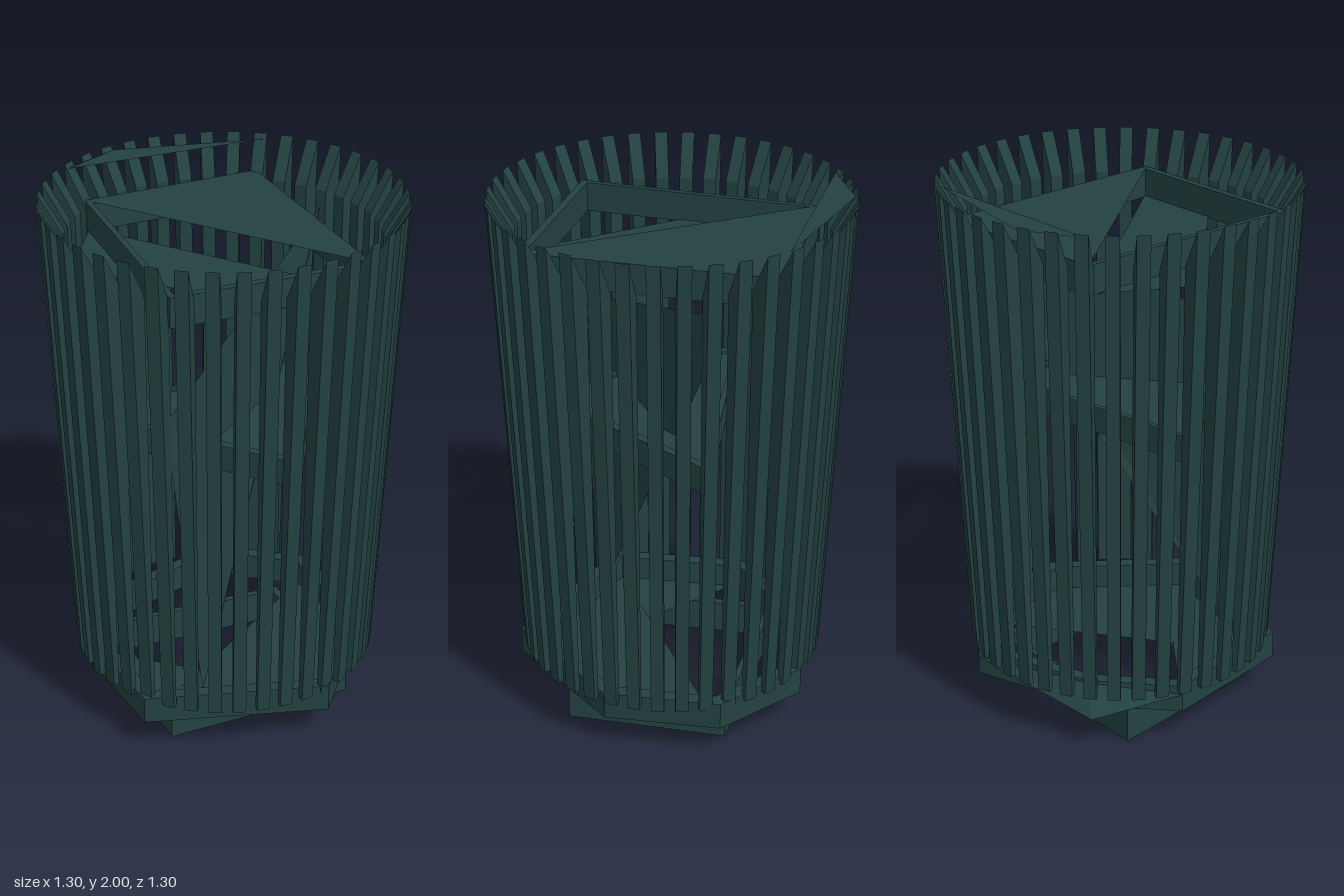
import * as THREE from 'three';

const green = new THREE.MeshStandardMaterial({ color: 0x234241, side: THREE.DoubleSide });
green.name = 'dark green';

function add(group, name, geometry) {
  const mesh = new THREE.Mesh(geometry, green);
  mesh.name = name;
  group.add(mesh);
  return mesh;
}

// angular hoop: corners are [x, z], walls run from y0 to y1
function hoop(corners, y0, y1, inner) {
  const path = (k) => corners.map(([x, z]) => new THREE.Vector2(x * k, -z * k));
  const shape = new THREE.Shape(path(1));
  shape.holes.push(new THREE.Path(path(inner)));
  const geo = new THREE.ExtrudeGeometry(shape, { depth: y1 - y0, bevelEnabled: false });
  return geo.rotateX(-Math.PI / 2).translate(0, y0, 0);
}

// thin sheet fanned out from its first corner
function sheet(...corners) {
  const points = [];
  for (let i = 1; i < corners.length - 1; i++) points.push(...corners[0], ...corners[i], ...corners[i + 1]);
  const geo = new THREE.BufferGeometry();
  geo.setAttribute('position', new THREE.Float32BufferAttribute(points, 3));
  geo.computeVertexNormals();
  return geo;
}

// level sheet at one height, corners are [x, z] in anticlockwise order from above
const level = (y, ...corners) => sheet(...corners.map(([x, z]) => [x, y, z]));

export function createModel() {
  const model = new THREE.Group();
  model.name = 'slattedBin';

  // forty slats, thin at the foot, leaning outwards, tops cut down towards the inside
  const profile = new THREE.Shape([
    new THREE.Vector2(0.545, 0.21), new THREE.Vector2(0.568, 0.21),
    new THREE.Vector2(0.652, 2), new THREE.Vector2(0.565, 1.85),
  ]);
  const slatGeo = new THREE.ExtrudeGeometry(profile, { depth: 0.048, bevelEnabled: false });
  slatGeo.translate(0, 0, -0.024);
  const slats = new THREE.Group();
  slats.name = 'slats';
  for (let i = 0; i < 40; i++) {
    add(slats, 'slat', slatGeo).rotation.y = (i / 40) * Math.PI * 2;
  }
  model.add(slats);

  // foot and supporting hoops
  add(model, 'foot', hoop([[0.2, 0.445], [0.457, -0.1], [-0.2, -0.465], [-0.455, 0.12]], 0, 0.13, 0.92));
  add(model, 'bottomHoop', hoop(
    [[-0.09, 0.575], [0.42, 0.35], [0.583, -0.05], [0.42, -0.4], [-0.05, -0.48], [-0.39, -0.4], [-0.585, 0.1]],
    0.13, 0.235, 0.9));
  add(model, 'middleHoop', hoop([[-0.41, -0.36], [-0.2, 0.51], [0.56, 0]], 1.1, 1.2, 0.9));
  add(model, 'topHoop', hoop([[-0.1, -0.57], [-0.55, 0.22], [0.1, 0.57], [0.53, -0.28]], 1.76, 1.87, 0.94));

  // sloping flap at the back of the bottom hoop
  add(model, 'bottomFlap', sheet(
    [-0.05, 0.225, -0.48], [0.42, 0.2, -0.4], [-0.1, 0.13, -0.57], [-0.39, 0.2, -0.4]));

  // floor panels, and the shelf within the middle hoop
  add(model, 'floor', level(0.14, [-0.585, 0.1], [-0.09, 0.575], [0.42, 0.35], [0.583, -0.05]));
  add(model, 'floorSide', level(0.14, [-0.585, 0.1], [-0.2, 0.05], [-0.39, -0.4]));
  add(model, 'shelf', level(1.19, [-0.41, -0.36], [-0.2, 0.51], [0.56, 0]));

  // folded liner sheets
  add(model, 'linerTop', level(1.872, [-0.1, -0.57], [0.1, 0.57], [0.53, -0.28]));
  add(model, 'linerUnderside', level(1.765, [-0.41, -0.36], [-0.2, 0.41], [0.1, 0.55], [-0.1, -0.55]));
  add(model, 'linerWall', sheet(
    [-0.37, 0.2, 0.2], [0.58, 1.68, -0.03], [0.56, 1.78, 0], [-0.56, 1.4, 0.2]));

  // flat rim piece between the slat tops
  add(model, 'rimPlate', level(1.985, [-0.12, -0.63], [0.57, -0.27], [0.13, -0.63]));

  return model;
}
